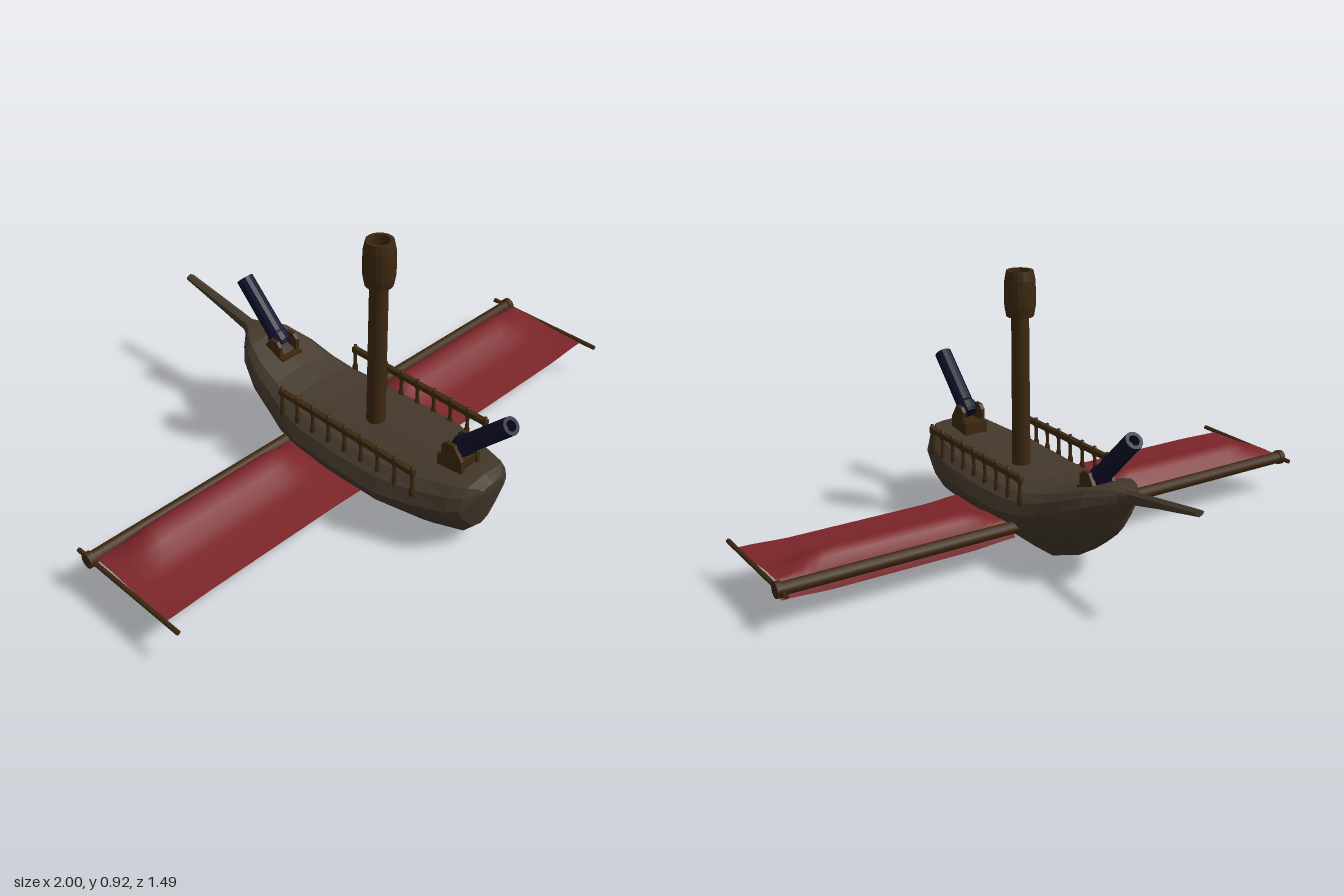
import * as THREE from 'three';

const material = (name, color, extra = {}) => {
  const m = new THREE.MeshStandardMaterial({ color, ...extra });
  m.name = name;
  return m;
};

export function createModel() {
  const root = new THREE.Group();
  root.name = 'wingedShip';
  const hullWood = material('weathered hull wood', 0x43382b, { flatShading: true });
  const wood = material('brown wood', 0x3d2810);
  const cloth = material('red cloth', 0x7c2529, { side: THREE.DoubleSide });
  const iron = material('dark blue iron', 0x0e0e2b);

  const add = (name, geometry, mat, x = 0, y = 0, z = 0, parent = root) => {
    const mesh = new THREE.Mesh(geometry, mat);
    mesh.name = name;
    mesh.position.set(x, y, z);
    parent.add(mesh);
    return mesh;
  };

  // Skins a list of closed rings, each running up the +x side, along z from + to -
  const loft = (rings) => {
    const pos = [];
    const n = rings[0].length;
    const tri = (...pts) => pts.forEach((p) => pos.push(...p));
    for (let i = 0; i < rings.length - 1; i++) {
      for (let j = 0; j < n; j++) {
        const k = (j + 1) % n;
        const a = rings[i][j], b = rings[i][k], c = rings[i + 1][j], d = rings[i + 1][k];
        tri(a, c, b);
        tri(b, c, d);
      }
    }
    const first = rings[0], last = rings[rings.length - 1];
    for (let j = 1; j < n - 1; j++) {
      tri(first[0], first[j], first[j + 1]);
      tri(last[0], last[j + 1], last[j]);
    }
    const g = new THREE.BufferGeometry();
    g.setAttribute('position', new THREE.Float32BufferAttribute(pos, 3));
    g.computeVertexNormals();
    return g;
  };

  // Hull stations: z, half width, keel height, widest height, deck height
  const stations = [
    [0.68, 0.05, 0.24, 0.255, 0.27],
    [0.665, 0.08, 0.17, 0.225, 0.277],
    [0.645, 0.115, 0.085, 0.205, 0.285],
    [0.61, 0.14, 0.045, 0.195, 0.283],
    [0.5, 0.182, 0.012, 0.185, 0.268],
    [0.38, 0.215, 0.008, 0.18, 0.26],
    [0.2, 0.218, 0.006, 0.18, 0.25],
    [0.02, 0.21, 0.003, 0.18, 0.25],
    [-0.08, 0.19, 0.003, 0.19, 0.26],
    [-0.16, 0.168, 0.035, 0.215, 0.283],
    [-0.25, 0.15, 0.092, 0.25, 0.317],
    [-0.32, 0.118, 0.15, 0.28, 0.342],
    [-0.37, 0.075, 0.2, 0.3, 0.35],
    [-0.405, 0.036, 0.265, 0.318, 0.348],
    [-0.44, 0.017, 0.31, 0.328, 0.345],
  ];
  // Half section: width fraction, height fraction (0 keel, 1 widest, 2 deck)
  const section = [[0.28, 0.07], [0.62, 0.4], [0.93, 0.78], [1, 1], [0.9, 1.55], [0.72, 1.9]];
  const rings = stations.map(([z, w, keel, mid, deck]) => {
    const height = (t) => (t < 1 ? keel + (mid - keel) * t : mid + (deck - mid) * (t - 1));
    const side = section.map(([f, t]) => [w * f, height(t), z]);
    return [[0, keel, z], ...side, [0, deck, z],
      ...side.slice().reverse().map(([x, y]) => [-x, y, z])];
  });
  add('hull', loft(rings), hullWood);

  // Bowsprit tapering up and forward from the hull's pointed end
  const sprit = [[-0.41, 0.018, 0.3, 0.348], [-0.55, 0.017, 0.334, 0.37], [-0.745, 0.015, 0.376, 0.4]];
  add('bowsprit', loft(sprit.map(([z, w, lo, hi]) =>
    [[0, lo, z], [w, lo + 0.008, z], [w, hi - 0.008, z], [0, hi, z], [-w, hi - 0.008, z], [-w, lo + 0.008, z]])), hullWood);

  // Mast and barrel-shaped lookout
  add('mast', new THREE.CylinderGeometry(0.03, 0.032, 0.62, 16), wood, 0, 0.52, 0.19);
  const barrel = [[0.028, 0.767], [0.046, 0.767], [0.052, 0.8], [0.053, 0.845], [0.051, 0.89],
    [0.045, 0.92], [0.033, 0.92], [0.033, 0.83], [0, 0.83]];
  add('lookout', new THREE.LatheGeometry(barrel.map(([r, y]) => new THREE.Vector2(r, y)), 18),
    material('lookout wood', 0x3d2810, { flatShading: true }), 0, 0, 0.19);

  // Deck railings
  const post = [[0, 0.22], [0.009, 0.22], [0.009, 0.245], [0.006, 0.255], [0.006, 0.29],
    [0.011, 0.302], [0.011, 0.318], [0.006, 0.324], [0.006, 0.33], [0, 0.33]];
  const postGeometry = new THREE.LatheGeometry(post.map(([r, y]) => new THREE.Vector2(r, y)), 8);
  for (const s of [1, -1]) {
    const railing = new THREE.Group();
    railing.name = s > 0 ? 'leftRailing' : 'rightRailing';
    root.add(railing);
    add('handrail', new THREE.BoxGeometry(0.018, 0.018, 0.59), wood, s * 0.173, 0.311, 0.215, railing);
    for (let i = 0; i < 9; i++) {
      add('railPost', postGeometry, wood, s * 0.173, 0, -0.072 + i * 0.072, railing);
    }
  }

  // Cannons on cheeked carriages, one at each end of the deck
  const cheek = new THREE.Shape();
  [[-0.048, -0.06], [0.038, -0.06], [0.038, 0.03], [0.022, 0.046], [-0.01, 0.046], [-0.042, 0.0]]
    .forEach(([x, y], i) => (i ? cheek.lineTo(x, y) : cheek.moveTo(x, y)));
  const cheekGeometry = new THREE.ExtrudeGeometry(cheek, { depth: 0.014, bevelEnabled: false })
    .translate(0, 0, -0.007).rotateY(Math.PI / 2);
  const bore = [[0, 0], [0.03, 0], [0.035, 0.012], [0.035, 0.04], [0.031, 0.05],
    [0.03, 0.262], [0.018, 0.262], [0.018, 0.225], [0, 0.225]];
  const boreGeometry = new THREE.LatheGeometry(bore.map(([r, y]) => new THREE.Vector2(r, y)), 12);
  const ironFacets = iron;
  ironFacets.flatShading = true;
  for (const [name, z, y, turn] of [['rearCannon', 0.545, 0.318, 0], ['bowCannon', -0.258, 0.318, Math.PI]]) {
    const cannon = new THREE.Group();
    cannon.name = name;
    cannon.position.set(0, y, z);
    cannon.rotation.y = turn;
    root.add(cannon);
    for (const s of [1, -1]) add('carriageCheek', cheekGeometry, wood, s * 0.038, 0, 0, cannon);
    add('carriageBase', new THREE.BoxGeometry(0.088, 0.05, 0.09), wood, 0, -0.035, -0.008, cannon);
    add('barrel', boreGeometry, ironFacets, 0, 0.012, -0.005, cannon).rotation.x = Math.PI / 4;
  }

  // Wing spars, end rods and billowing cloth
  // Cloth profile from front spar to trailing edge: z, height when slack, billow
  const profile = [[-0.035, 0, 0], [-0.018, 0.012, 0.01], [0.005, 0.015, 0.035], [0.03, 0.015, 0.05],
    [0.055, 0.015, 0.05], [0.09, 0.012, 0.036], [0.13, 0.008, 0.014], [0.18, 0.004, 0.003], [0.31, 0, 0]];
  const columns = 20;
  for (const s of [1, -1]) {
    const wing = new THREE.Group();
    wing.name = s > 0 ? 'leftWing' : 'rightWing';
    root.add(wing);
    add('spar', new THREE.CylinderGeometry(0.021, 0.021, 0.84, 12).rotateZ(Math.PI / 2), wood, s * 0.57, 0.135, -0.043, wing);
    add('sparCap', new THREE.CylinderGeometry(0.026, 0.026, 0.02, 12).rotateZ(Math.PI / 2), wood, s * 0.99, 0.135, -0.043, wing);
    add('endRod', new THREE.CylinderGeometry(0.008, 0.008, 0.47, 8).rotateX(Math.PI / 2), wood, s * 0.987, 0.135, 0.135, wing);

    const sail = new THREE.PlaneGeometry(1, 1, columns, profile.length - 1).rotateX(-Math.PI / 2);
    const p = sail.attributes.position;
    for (let i = 0; i < p.count; i++) {
      const t = p.getX(i) + 0.5;
      const u = s > 0 ? t : 1 - t;
      const row = Math.floor(i / (columns + 1));
      const [z, slack, billow] = profile[row];
      const ramp = THREE.MathUtils.smoothstep(u, 0.02, 0.2) * (1 - THREE.MathUtils.smoothstep(u, 0.78, 0.98));
      // The left cloth sags below its spar at the leading edge
      const sag = s > 0 && row === 0 ? -0.04 : 0;
      const lift = s > 0 ? -0.008 : 0.004;
      p.setXYZ(i, s * (0.17 + 0.81 * u), 0.133 + slack + billow * ramp + lift * ramp + sag, z);
    }
    sail.computeVertexNormals();
    add('wingCloth', sail, cloth, 0, 0, 0, wing);
  }
  return root;
}
